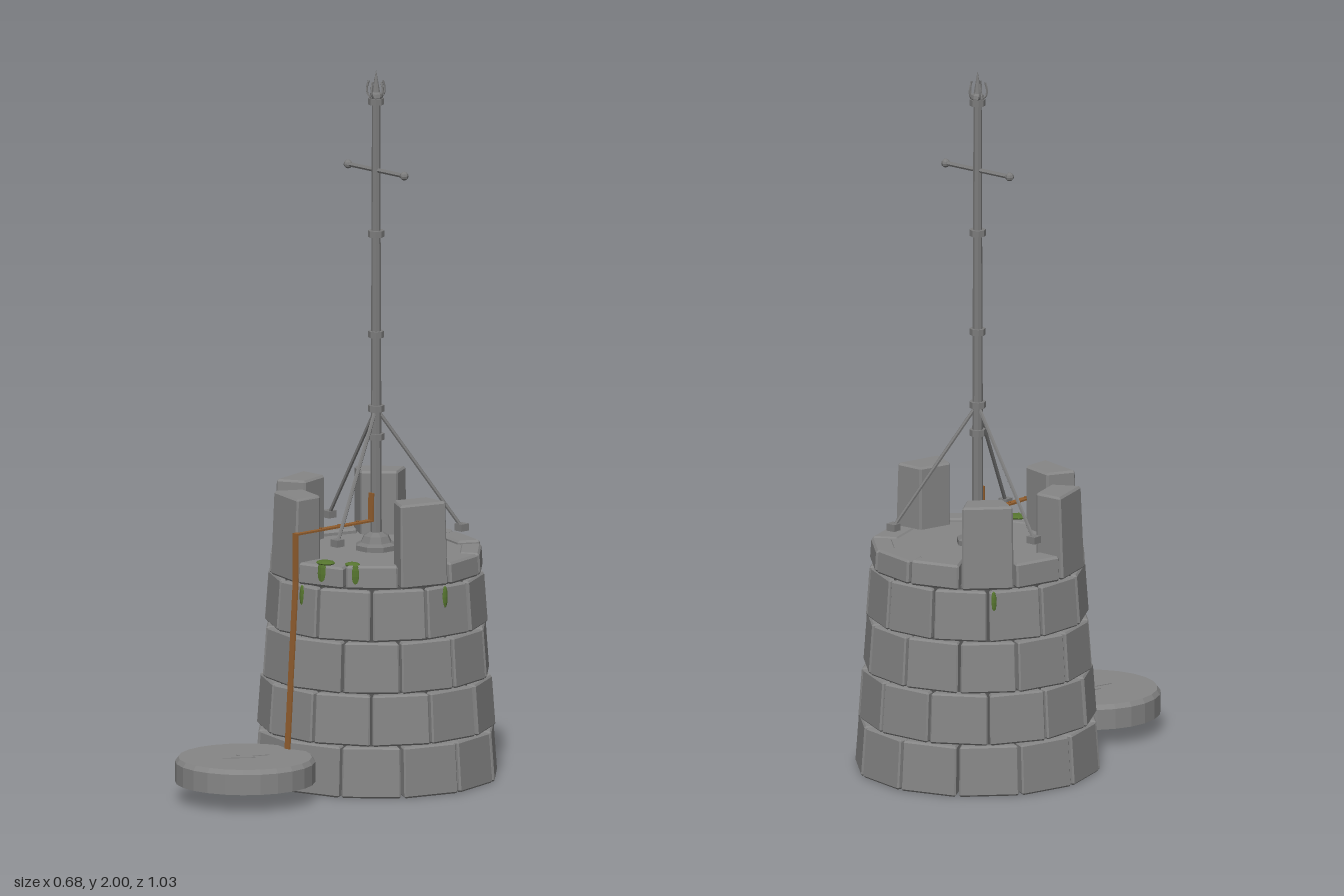
import * as THREE from 'three';
import { ConvexGeometry } from 'three/addons/geometries/ConvexGeometry.js';

const mat = (name, color) =>
  Object.assign(new THREE.MeshStandardMaterial({ color, flatShading: true }), { name });
const M = {
  stone: mat('stone grey', 0x868686),
  mortar: mat('mortar dark grey', 0x555555),
  iron: mat('iron grey', 0x7c7c7c),
  copper: mat('aged copper', 0x925e2e),
  moss: mat('moss green', 0x56752f),
};

let seed = 7;
const rnd = () => ((seed = (seed * 16807) % 2147483647) / 2147483647) * 2 - 1;
const rad = THREE.MathUtils.degToRad;
const lerp = THREE.MathUtils.lerp;
const wallRadius = (y) => 0.343 - 0.073 * y;

function add(parent, name, geometry, material, x = 0, y = 0, z = 0) {
  const mesh = new THREE.Mesh(geometry, material);
  mesh.name = name;
  mesh.position.set(x, y, z);
  parent.add(mesh);
  return mesh;
}

// Rod between two points
function rod(parent, name, a, b, r, material, sides = 6) {
  const d = b.clone().sub(a);
  const mesh = add(parent, name, new THREE.CylinderGeometry(r, r, d.length(), sides), material);
  mesh.position.copy(a).add(b).multiplyScalar(0.5);
  mesh.quaternion.setFromUnitVectors(new THREE.Vector3(0, 1, 0), d.normalize());
}

// Chamfered wedge stone with a flat face spanning a sector (degrees from the front)
function stoneGeometry(angle, span, rIn, rBottom, rTop, y0, y1, c = 0.005) {
  const a0 = rad(angle - span / 2), a1 = rad(angle + span / 2);
  const insets = [c / (rBottom * rad(span)), c / (rBottom - rIn), c / (y1 - y0)];
  const at = (u, v, w) => {
    const r = lerp(rIn, lerp(rBottom, rTop, w), v);
    return new THREE.Vector3(r * lerp(Math.sin(a0), Math.sin(a1), u), lerp(y0, y1, w),
      r * lerp(Math.cos(a0), Math.cos(a1), u));
  };
  const pts = [];
  for (let i = 0; i < 8; i++) for (let k = 0; k < 3; k++) {
    const p = [i & 1, (i >> 1) & 1, i >> 2].map((s, j) => (j === k ? s : s ? 1 - insets[j] : insets[j]));
    pts.push(at(...p));
  }
  return new ConvexGeometry(pts);
}

function buildTower() {
  const tower = new THREE.Group();
  tower.name = 'tower';

  // Dark core behind the joints, base plate and roof floor
  add(tower, 'core', new THREE.CylinderGeometry(0.282, 0.308, 0.55, 12), M.mortar, 0, 0.31, 0)
    .rotation.y = rad(15);
  add(tower, 'basePlate', new THREE.CylinderGeometry(0.25, 0.25, 0.02, 24), M.stone, 0, 0.035, 0);
  add(tower, 'roofFloor', new THREE.CylinderGeometry(0.25, 0.25, 0.06, 12), M.stone, 0, 0.611, 0);

  // Four staggered wall courses
  for (let row = 0; row < 4; row++) {
    const y0 = row * 0.146, y1 = y0 + 0.142;
    for (let i = 0; i < 12; i++) {
      const j = rnd() * 0.002;
      add(tower, 'wallStone', stoneGeometry(i * 30 + (row % 2 ? 0 : 15), 28.6 + rnd() * 0.3, 0.24,
        wallRadius(y0) + j, wallRadius(y1) + j, y0, y1), M.stone);
    }
  }

  // Parapet, clockwise from the back: [top height, inner radius]; the tall ones are merlons
  const parapet = [[0.655, 0.205], [0.82, 0.207], [0.655, 0.225], [0.82, 0.207], [0.646, 0.235], [0.82, 0.207],
    [0.644, 0.24], [0.65, 0.235], [0.82, 0.207], [0.645, 0.225], [0.645, 0.24], [0.652, 0.235]];
  parapet.forEach(([top, inner], i) => {
    const merlon = top > 0.8;
    add(tower, merlon ? 'merlon' : 'parapetStone',
      stoneGeometry(i * 30 - 165, 28.4, inner, 0.303, merlon ? 0.293 : 0.299, 0.584, top, 0.006), M.stone);
  });
  return tower;
}

function buildMast() {
  const mast = new THREE.Group();
  mast.name = 'mast';
  const v = (x, y, z) => new THREE.Vector3(x, y, z);

  const foot = [[0, 0.63], [0.06, 0.63], [0.06, 0.655], [0.045, 0.662], [0.036, 0.68], [0.02, 0.69], [0, 0.69]];
  add(mast, 'mastFoot', new THREE.LatheGeometry(foot.map((p) => new THREE.Vector2(...p)), 8, Math.PI / 8), M.iron);
  add(mast, 'pole', new THREE.CylinderGeometry(0.0115, 0.016, 1.27, 8), M.iron, 0, 1.295, 0);
  for (const [y, r] of [[0.96, 0.023], [1.04, 0.023], [1.25, 0.022], [1.535, 0.023], [1.91, 0.022]])
    add(mast, 'collar', new THREE.CylinderGeometry(r, r, 0.018, 8), M.iron, 0, y, 0);

  // Crossbar with end knobs
  rod(mast, 'crossbar', v(-0.115, 1.715, 0), v(0.115, 1.715, 0), 0.0065, M.iron);
  for (const s of [-1, 1])
    add(mast, 'crossbarKnob', new THREE.SphereGeometry(0.0125, 8, 6), M.iron, s * 0.115, 1.715, 0);

  // Crown: central spike and curved prongs
  add(mast, 'crownBall', new THREE.SphereGeometry(0.019, 8, 6), M.iron, 0, 1.922, 0);
  add(mast, 'spike', new THREE.ConeGeometry(0.014, 0.08, 8), M.iron, 0, 1.96, 0);
  const prong = new THREE.CatmullRomCurve3([v(0.008, 1.918, 0), v(0.023, 1.928, 0), v(0.026, 1.947, 0), v(0.021, 1.968, 0)]);
  for (let i = 0; i < 5; i++)
    add(mast, 'prong', new THREE.TubeGeometry(prong, 8, 0.003, 5), M.iron).rotation.y = (i * 2 * Math.PI) / 5;

  // Guy rods and their anchors
  for (const [x, z] of [[-0.235, -0.04], [0.15, -0.185], [0.08, 0.22]]) {
    rod(mast, 'guyRod', v(0, 1.04, 0), v(x, 0.7, z), 0.0055, M.iron);
    add(mast, 'guyAnchor', new THREE.BoxGeometry(0.028, 0.02, 0.028), M.iron, x, 0.7, z);
  }
  return mast;
}

// Thin copper ribbon running from the mast, over the parapet and down the wall
function buildConductor() {
  const g = new THREE.Group();
  g.name = 'groundStrip';
  const path = [[0.8, 0.018], [0.724, 0.02], [0.724, 0.304], [0.59, 0.304], [0.12, 0.335]];
  for (let i = 0; i < path.length - 1; i++) {
    const [y0, z0] = path[i], [y1, z1] = path[i + 1];
    const len = Math.hypot(y1 - y0, z1 - z0);
    const piece = add(g, 'strip', new THREE.BoxGeometry(0.019, 0.005, len + 0.004), M.copper,
      0, (y0 + y1) / 2, (z0 + z1) / 2);
    piece.rotation.x = Math.atan2(y0 - y1, z1 - z0);
  }
  for (const z of [0.07, 0.14, 0.21])
    add(g, 'rivet', new THREE.CylinderGeometry(0.004, 0.004, 0.004, 6), M.copper, 0, 0.728, z);
  return g;
}

function buildPedestal() {
  const g = new THREE.Group();
  g.name = 'pedestal';
  // Disc with a recessed underside
  const profile = [[0, 0.1], [0.18, 0.1], [0.18, 0.05], [0.195, 0.05], [0.195, 0.107], [0.186, 0.12], [0, 0.12]];
  add(g, 'disc', new THREE.LatheGeometry(profile.map((p) => new THREE.Vector2(...p)), 24), M.stone);

  // Thin zigzag inlay
  const bolt = new THREE.Shape([[-0.016, 0.06], [0.03, 0.065], [0.011, 0.015], [0.032, 0.01],
    [-0.022, -0.065], [-0.007, -0.01], [-0.033, -0.005]].map((p) => new THREE.Vector2(...p)));
  add(g, 'zigzagInlay', new THREE.ExtrudeGeometry(bolt, { depth: 0.003, bevelEnabled: false }), M.stone, 0, 0.119, 0)
    .rotation.x = -Math.PI / 2;
  return g;
}

// Moss pads on the parapet and drips on the wall
function buildMoss() {
  const g = new THREE.Group();
  g.name = 'moss';
  for (const [x, z, s] of [[0.075, 0.26, 0.029], [0.147, 0.224, 0.024]])
    add(g, 'mossPad', new THREE.SphereGeometry(1, 10, 6), M.moss, x, 0.649, z).scale.set(s, 0.007, s * 0.85);
  const drips = [[16, 0.62, 0.036, 0.016], [36, 0.62, 0.035, 0.013], [3, 0.55, 0.032, 0.009],
    [88, 0.55, 0.032, 0.009], [-132, 0.55, 0.032, 0.009]];
  for (const [deg, y, h, w] of drips) {
    const nearest = y > 0.58 ? Math.floor(deg / 30) * 30 + 15 : Math.round(deg / 30) * 30;
    const r = wallRadius(y) * Math.cos(rad(14.3)) / Math.cos(rad(deg - nearest));
    const drip = add(g, 'mossDrip', new THREE.SphereGeometry(1, 8, 6), M.moss,
      r * Math.sin(rad(deg)), y, r * Math.cos(rad(deg)));
    drip.scale.set(w, h, 0.006);
    drip.rotation.y = rad(nearest);
  }
  return g;
}

export function createModel() {
  const model = new THREE.Group();
  model.name = 'stoneTowerWithMast';
  const keep = new THREE.Group();
  keep.name = 'keep';
  keep.position.z = -0.175;
  keep.add(buildTower(), buildMast(), buildConductor(), buildMoss());
  const pedestal = buildPedestal();
  pedestal.position.z = 0.32;
  model.add(keep, pedestal);
  return model;
}
